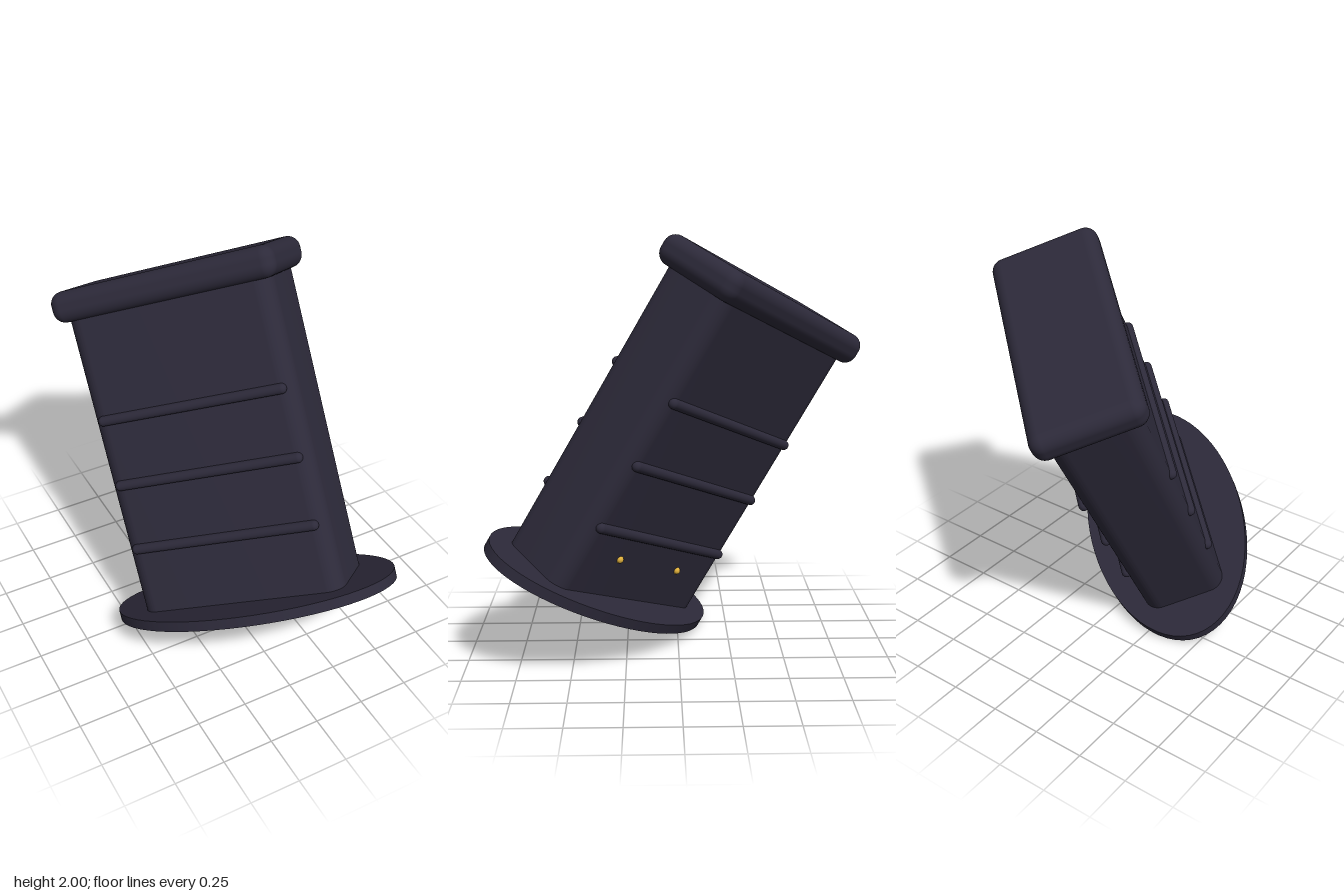
import * as THREE from 'three';
import { toCreasedNormals } from 'three/addons/utils/BufferGeometryUtils.js';
import { RoundedBoxGeometry } from 'three/addons/geometries/RoundedBoxGeometry.js';

const LENGTH = 1.035, DEPTH = 0.415;   // body footprint
const PLATE = 0.05;                    // base plate thickness
const CAP_BOTTOM = 1.524, CAP_TOP = 1.672;

// Rectangle with rounded corners, centred on the origin
function roundedRect(w, h, r) {
  const s = new THREE.Shape();
  const x = w / 2 - r, y = h / 2 - r;
  s.absarc(x, y, r, 0, Math.PI / 2);
  s.absarc(-x, y, r, Math.PI / 2, Math.PI);
  s.absarc(-x, -y, r, Math.PI, Math.PI * 1.5);
  s.absarc(x, -y, r, Math.PI * 1.5, Math.PI * 2);
  s.closePath();
  return s;
}

export function createModel() {
  const dark = new THREE.MeshStandardMaterial({ color: 0x2d2a3a });
  const gold = new THREE.MeshStandardMaterial({ color: 0xe0b03c });

  const casing = new THREE.Group();
  casing.name = 'casing';
  const add = (name, geometry, material, x, y, z) => {
    const mesh = new THREE.Mesh(geometry, material);
    mesh.name = name;
    mesh.position.set(x, y, z);
    casing.add(mesh);
    return mesh;
  };

  // Oval base plate
  const plate = new THREE.CylinderGeometry(1, 1, PLATE, 64);
  plate.scale(0.72, 1, 0.41);
  add('basePlate', plate, dark, 0, PLATE / 2, 0);

  // Tall body with rounded upright edges
  const body = new THREE.ExtrudeGeometry(roundedRect(LENGTH, DEPTH, 0.08), {
    depth: CAP_BOTTOM + 0.03 - PLATE, bevelEnabled: false, curveSegments: 10,
  });
  body.rotateX(-Math.PI / 2);
  add('body', toCreasedNormals(body, 0.6), dark, 0, PLATE, 0);

  // Overhanging cap with soft edges
  const cap = new RoundedBoxGeometry(1.13, CAP_TOP - CAP_BOTTOM, 0.51, 6, 0.06);
  add('cap', cap, dark, 0, (CAP_TOP + CAP_BOTTOM) / 2, 0);

  // Three ribs on each broad side
  const rib = new THREE.CapsuleGeometry(0.025, 0.91, 8, 16);
  rib.rotateZ(Math.PI / 2);
  for (const side of [1, -1]) {
    for (let i = 0; i < 3; i++) {
      add(side > 0 ? 'frontRib' : 'backRib', rib, dark, 0, 0.38 + i * 0.325, side * DEPTH / 2);
    }
  }

  // Two small studs low on the back side
  const stud = new THREE.SphereGeometry(0.018, 16, 12);
  for (const x of [-0.22, 0.22]) add('stud', stud, gold, x, 0.247, -DEPTH / 2);

  // Turn the casing about its own axis, then lean it backwards
  casing.rotation.y = -Math.PI / 4;
  const lean = new THREE.Group();
  lean.name = 'leaningCasing';
  lean.rotation.x = -Math.PI / 6;
  lean.position.set(0, 0.294, 0.392);
  lean.add(casing);

  const model = new THREE.Group();
  model.name = 'model';
  model.add(lean);
  return model;
}
